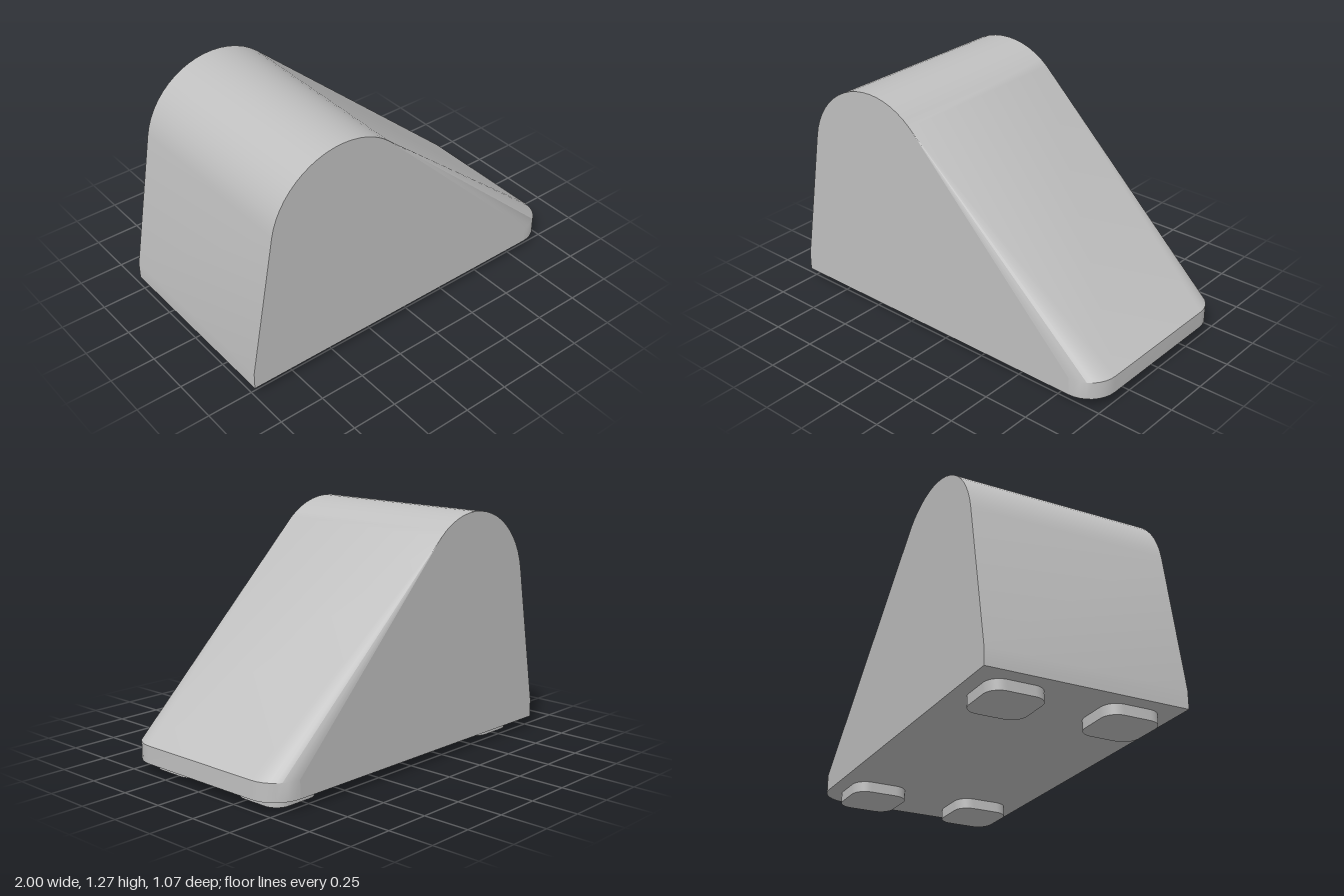
import * as THREE from 'three';
import { toCreasedNormals } from 'three/addons/utils/BufferGeometryUtils.js';

const HALF = 0.535;   // half depth
const BASE = 0.055;   // underside of the body
const LIP = 0.15;     // top of the vertical lip
const CORNER = 0.16;  // plan radius of the two corners at the low end

function geometryFrom(points) {
  const g = new THREE.BufferGeometry();
  g.setAttribute('position', new THREE.Float32BufferAttribute(points.flatMap(p => p.toArray()), 3));
  g.computeVertexNormals();
  return g;
}

// Plan of the low end, running from +z to -z around both rounded corners
function lowEnd(y) {
  const row = [];
  const n = 8;
  for (const s of [1, -1]) {
    for (let i = 0; i <= n; i++) {
      const a = (s > 0 ? i : n - i) / n * Math.PI / 2;
      row.push(new THREE.Vector3(
        1 - CORNER + CORNER * Math.sin(a), y,
        s * (HALF - CORNER + CORNER * Math.cos(a))));
    }
  }
  return row;
}

// Straight row across the depth, with as many stations as the low end
function straight(x, y) {
  return lowEnd(y).map(p => new THREE.Vector3(x, y, Math.sign(p.z) * HALF));
}

function bodyRows() {
  const rows = [straight(-1, BASE), straight(-1, LIP)];
  const r = 0.42, steps = 18;
  for (let i = 0; i <= steps; i++) {
    const a = THREE.MathUtils.degToRad(THREE.MathUtils.lerp(170, 49.2, i / steps));
    rows.push(straight(-0.45 + r * Math.cos(a), 0.85 + r * Math.sin(a)));
  }
  rows.push(lowEnd(LIP), lowEnd(BASE));
  return rows;
}

// Closed skin: back, rounded crest, slope with tapering corners, lip, underside
function skin(rows) {
  const out = [];
  const tri = new THREE.Triangle();
  const add = (a, b, c) => {
    if (tri.set(a, b, c).getArea() > 1e-7) out.push(a, b, c);
  };
  rows.forEach((a, i) => {
    const b = rows[(i + 1) % rows.length];
    for (let j = 0; j < a.length - 1; j++) {
      add(a[j + 1], a[j], b[j]);
      add(a[j + 1], b[j], b[j + 1]);
    }
  });
  return toCreasedNormals(geometryFrom(out), Math.PI / 6);
}

// Flat convex side wall
function wall(rows, front) {
  const p = rows.map(r => (front ? r[0] : r[r.length - 1]));
  const out = [];
  for (let i = 1; i < p.length - 1; i++) {
    out.push(p[0], front ? p[i + 1] : p[i], front ? p[i] : p[i + 1]);
  }
  return geometryFrom(out);
}

// Rounded square pad, standing on y = 0
function footGeometry() {
  const h = 0.15, r = 0.08, c = h - r;
  const s = new THREE.Shape();
  s.absarc(c, c, r, 0, Math.PI / 2);
  s.absarc(-c, c, r, Math.PI / 2, Math.PI);
  s.absarc(-c, -c, r, Math.PI, Math.PI * 1.5);
  s.absarc(c, -c, r, Math.PI * 1.5, Math.PI * 2);
  s.closePath();
  const g = new THREE.ExtrudeGeometry(s, { depth: BASE, bevelEnabled: false, curveSegments: 6 });
  g.rotateX(-Math.PI / 2);
  return toCreasedNormals(g, Math.PI / 6);
}

export function createModel() {
  const model = new THREE.Group();
  model.name = 'wedge';
  const grey = new THREE.MeshStandardMaterial({ color: 0xc0c0c0 });
  grey.name = 'grey';

  const add = (name, geometry) => {
    const mesh = new THREE.Mesh(geometry, grey);
    mesh.name = name;
    model.add(mesh);
    return mesh;
  };

  const rows = bodyRows();
  add('bodyShell', skin(rows));
  add('frontWall', wall(rows, true));
  add('backWall', wall(rows, false));

  // Four feet
  const foot = footGeometry();
  for (const x of [-1, 1]) {
    for (const z of [-1, 1]) {
      const name = (z > 0 ? 'front' : 'back') + (x > 0 ? 'Left' : 'Right') + 'Foot';
      add(name, foot).position.set(x * 0.765, 0, z * 0.305);
    }
  }
  return model;
}
